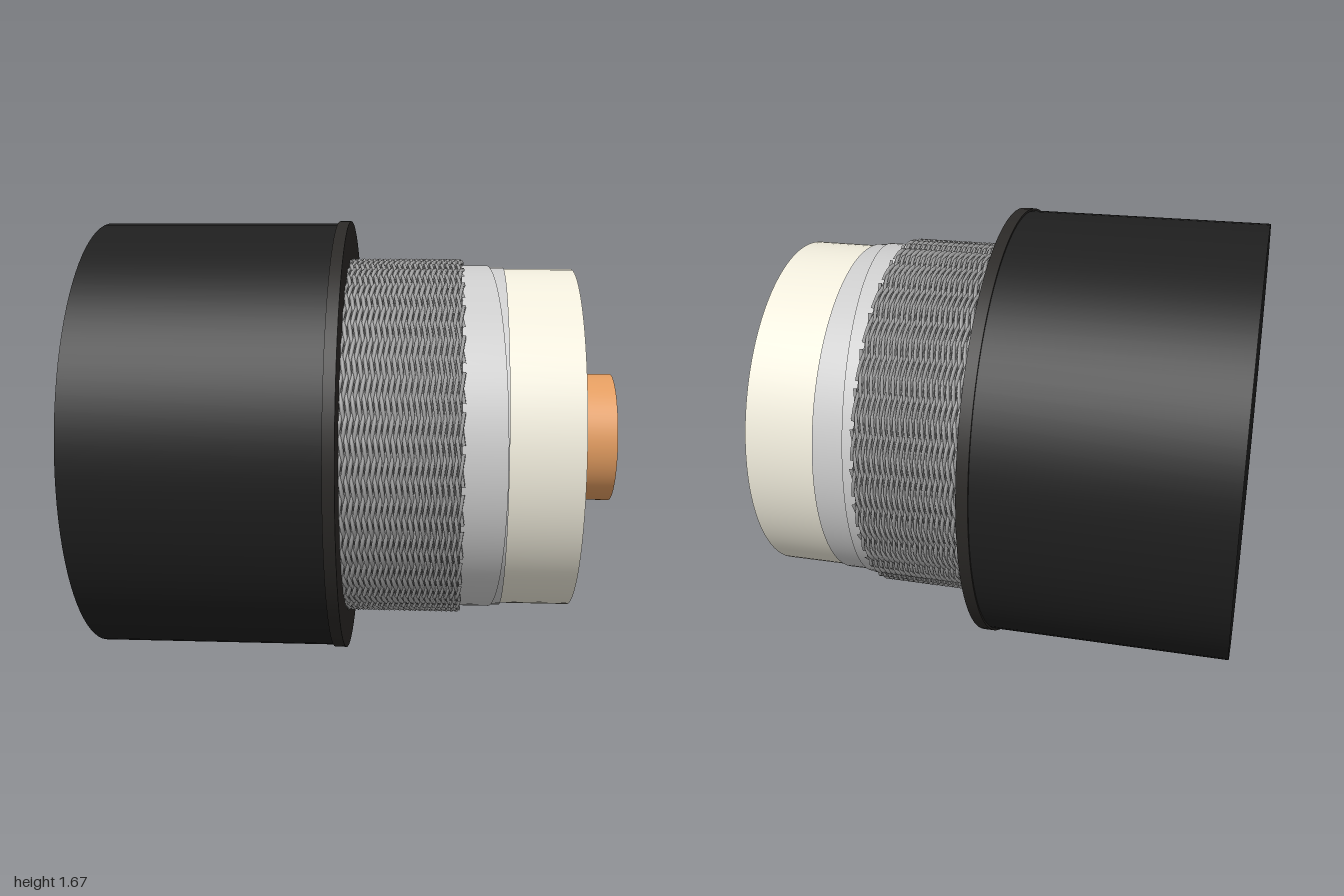
import * as THREE from 'three';

const mat = (color, extra = {}) => new THREE.MeshStandardMaterial({ color, ...extra });

// Solid cylinder along the cable axis (local x), from a to b
function sleeve(name, r, a, b, material, open = false) {
  const geo = new THREE.CylinderGeometry(r, r, b - a, 96, 1, open);
  geo.rotateZ(-Math.PI / 2).translate((a + b) / 2, 0, 0);
  const mesh = new THREE.Mesh(geo, material);
  mesh.name = name;
  return mesh;
}

// One helical strand that weaves over and under the opposite set
class Strand extends THREE.Curve {
  constructor(start, dir, a, b, pitch, count) {
    super();
    Object.assign(this, { start, dir, a, b, pitch, count });
  }
  getPoint(t, target = new THREE.Vector3()) {
    const s = (this.b - this.a) * t;
    const turn = (2 * Math.PI * s) / this.pitch;
    const r = 0.681 + this.dir * 0.006 * Math.cos(turn * this.count);
    const angle = this.start + this.dir * turn;
    return target.set(this.a + s, r * Math.cos(angle), r * Math.sin(angle));
  }
}

function braid(a, b) {
  const group = new THREE.Group();
  group.name = 'braidedShield';
  group.add(sleeve('braidCore', 0.677, a, b - 0.005, mat(0x606060)));
  const wire = mat(0xa8a8a8);
  const count = 30;
  for (const dir of [1, -1]) {
    for (let k = 0; k < count; k++) {
      const curve = new Strand((2 * Math.PI * k) / count, dir, a, b, 0.6, count);
      const strand = new THREE.Mesh(new THREE.TubeGeometry(curve, 170, 0.008, 4), wire);
      strand.name = 'braidStrand';
      group.add(strand);
    }
  }
  return group;
}

export function createModel() {
  const model = new THREE.Group();
  model.name = 'coaxialCable';
  const cable = new THREE.Group();
  cable.name = 'cableLayers';

  // Outer jacket with a slightly raised rim at its cut end
  cable.add(sleeve('outerJacket', 0.829, -0.965, -0.06, mat(0x1e1e1e)));
  cable.add(sleeve('jacketRim', 0.837, -0.068, -0.025, mat(0x2a2826)));

  // Woven wire shield
  cable.add(braid(-0.035, 0.403));

  // Foil wrap and its slanted overlapping layer
  const foil = mat(0xe2e4e1, { side: THREE.DoubleSide });
  cable.add(sleeve('foilWrap', 0.662, 0.38, 0.56, foil));
  const lap = sleeve('foilOverlap', 0.668, 0.38, 0.5, foil, true);
  const pos = lap.geometry.attributes.position;
  for (let i = 0; i < pos.count; i++) {
    if (pos.getX(i) > 0.45) pos.setX(i, 0.5 + 0.085 * pos.getZ(i));
  }
  cable.add(lap);

  // Insulating core and centre conductor
  cable.add(sleeve('dielectricCore', 0.655, 0.5, 0.822, mat(0xefebdb)));
  cable.add(sleeve('centreConductor', 0.248, 0.8, 0.988, mat(0xe29c60)));

  // The cable lies a little askew
  cable.rotation.y = -0.0415;
  cable.position.set(0, 0.84, 0.015);
  model.add(cable);
  return model;
}
